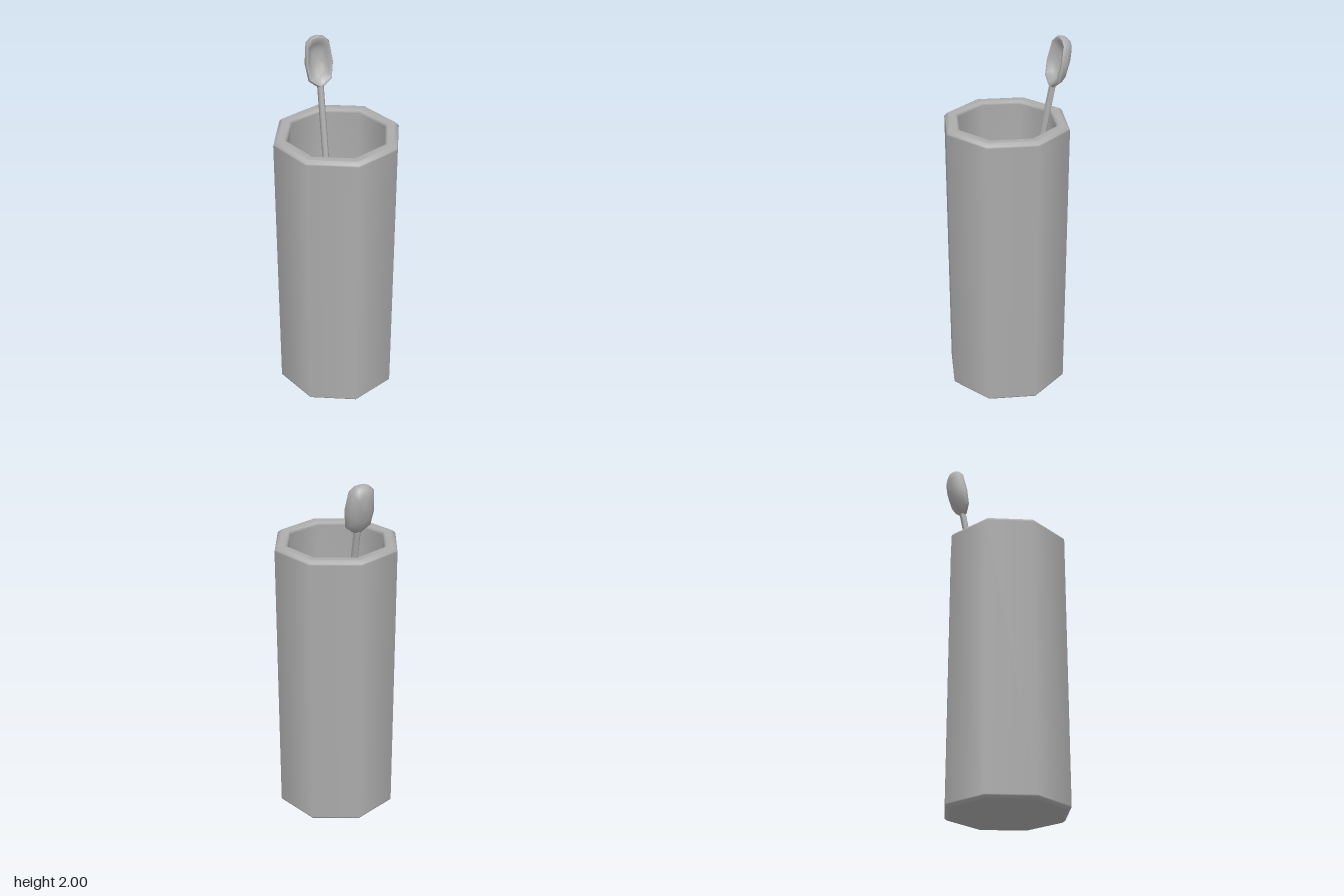
import * as THREE from 'three';
import { toCreasedNormals } from 'three/addons/utils/BufferGeometryUtils.js';

const grey = new THREE.MeshStandardMaterial({ color: 0xacacac });

function mesh(name, geometry) {
  const m = new THREE.Mesh(geometry, grey);
  m.name = name;
  return m;
}

// Spoon bowl: one outline scaled through rings, back pole -> rim -> inner pole
function bowlGeometry() {
  const half = [[0.034, 0.133], [0.064, 0.105], [0.078, -0.01], [0.065, -0.1], [0.014, -0.14]];
  const outline = [[0, 0.14], ...half, ...half.map(([x, y]) => [-x, y]).reverse()];
  const rings = [ // scale, lift towards the tip, depth
    [0.001, 0.02, -0.058], [0.5, 0.02, -0.053], [0.82, 0.014, -0.034], [0.97, 0.004, -0.01],
    [1, 0, 0.004], [0.93, 0, 0.019], [0.8, 0, 0.016], [0.66, 0, -0.01],
    [0.4, 0, -0.028], [0.001, 0, -0.034],
  ];
  const n = outline.length;
  const pos = [], index = [];
  for (const [s, lift, z] of rings) for (const [x, y] of outline) pos.push(x * s, y * s + lift, z);
  for (let r = 0; r < rings.length - 1; r++) {
    for (let j = 0; j < n; j++) {
      const a = r * n + j, b = r * n + (j + 1) % n;
      index.push(a, a + n, b, b, a + n, b + n);
    }
  }
  const g = new THREE.BufferGeometry();
  g.setAttribute('position', new THREE.Float32BufferAttribute(pos, 3));
  g.setIndex(index);
  return toCreasedNormals(g, 1.0);
}

export function createModel() {
  const model = new THREE.Group();
  model.name = 'cupWithSpoon';

  // Eight-sided hollow cup with chamfered edges; the floor shades smoothly into the wall
  const profile = [
    [0, 0], [0.322, 0], [0.328, 0.001], [0.345, 0.013], [0.346, 0.02],
    [0.346, 1.572], [0.343, 1.58], [0.328, 1.594], [0.32, 1.595],
    [0.29, 1.595], [0.28, 1.592], [0.273, 1.585], [0.272, 1.575],
    [0.272, 0.075], [0, 0.075],
  ].map(([x, y]) => new THREE.Vector2(x, y));
  const cup = mesh('cup', new THREE.LatheGeometry(profile, 8));
  cup.position.z = 0.013;
  model.add(cup);

  // Spoon leaning against the back of the rim
  const spoon = new THREE.Group();
  spoon.name = 'spoon';
  spoon.position.set(0, 0.1, 0.08);
  spoon.rotation.x = -0.2096;

  const handle = mesh('spoonHandle',
    toCreasedNormals(new THREE.CylinderGeometry(0.018, 0.02, 1.67, 8).rotateY(Math.PI / 8), 0.9));
  handle.position.y = 0.835;
  const bowl = mesh('spoonBowl', bowlGeometry());
  bowl.position.y = 1.8;
  spoon.add(handle, bowl);
  model.add(spoon);

  return model;
}
